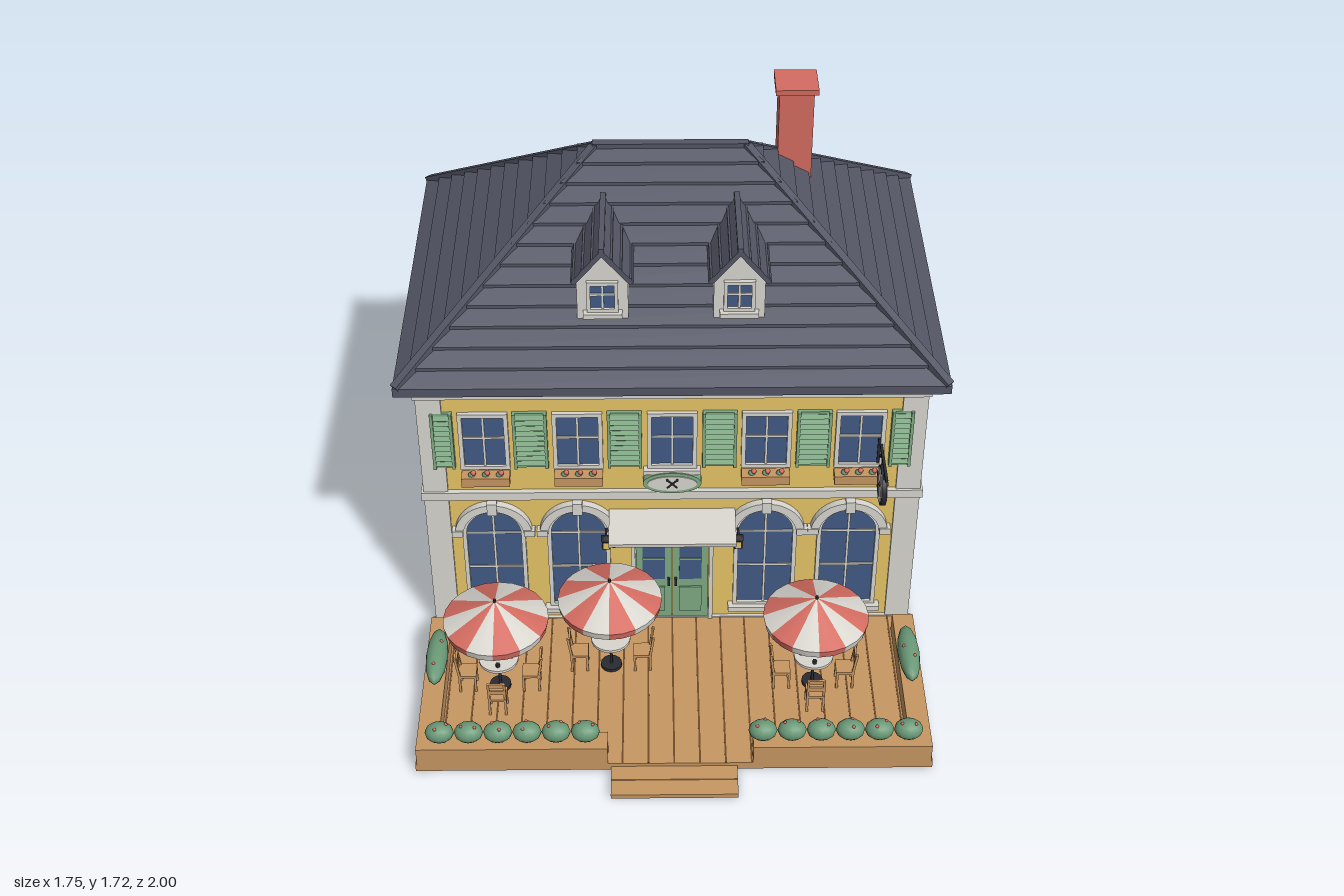
import * as THREE from 'three';
import { mergeGeometries } from 'three/addons/utils/BufferGeometryUtils.js';

const M = {};
for (const [name, color] of Object.entries({
  wallYellow: 0xe8c566, trimWhite: 0xd9d6cf, roofSlate: 0x545665, darkIron: 0x2a2a32, glassBlue: 0x425a86,
  paintGreen: 0x7faa84, leafGreen: 0x6b9a78, wood: 0xc89762, woodDark: 0x6e4a2b, red: 0xd46c61,
})) M[name] = new THREE.MeshStandardMaterial({ color, name, side: THREE.DoubleSide });

const HX = 0.8, ZF = 0.21, ZB = -0.91, ZC = -0.35;   // house walls

function add(parent, name, geo, mat, x = 0, y = 0, z = 0) {
  const m = new THREE.Mesh(geo, mat);
  m.name = name; m.position.set(x, y, z); parent.add(m);
  return m;
}
function group(parent, name, x = 0, y = 0, z = 0, ry = 0) {
  const g = new THREE.Group();
  g.name = name; g.position.set(x, y, z); g.rotation.y = ry; parent.add(g);
  return g;
}
// Box given by its extents
function box(p, name, mat, x0, x1, y0, y1, z0, z1) {
  return add(p, name, new THREE.BoxGeometry(x1 - x0, y1 - y0, z1 - z0), mat, (x0 + x1) / 2, (y0 + y1) / 2, (z0 + z1) / 2);
}
// Bar running from point a to point b in the parent's own space
function beam(p, name, mat, a, b, w, h = w) {
  const A = new THREE.Vector3(...a), B = new THREE.Vector3(...b);
  const m = add(p, name, new THREE.BoxGeometry(w, h, A.distanceTo(B)), mat);
  m.position.lerpVectors(A, B, 0.5);
  m.quaternion.setFromRotationMatrix(new THREE.Matrix4().lookAt(B, A, m.up));
}
const cyl = (r, h, n = 16) => new THREE.CylinderGeometry(r, r, h, n);
const extrude = (shape, depth) => new THREE.ExtrudeGeometry(shape, { depth, bevelEnabled: false, curveSegments: 12 });

// Hollow rectangular band around the house
function ring(p, name, mat, y0, y1, out) {
  const g = group(p, name), X = HX + out, t = out ? out + 0.01 : 0.02;
  box(g, name + 'Front', mat, -X, X, y0, y1, ZF + out - t, ZF + out);
  box(g, name + 'Back', mat, -X, X, y0, y1, ZB - out, ZB - out + t);
  for (const s of [-1, 1]) box(g, name + 'Side', mat, s * (X - t / 2) - t / 2, s * (X - t / 2) + t / 2, y0, y1, ZB - out + t, ZF + out - t);
}

// Rectangular window, local origin at its centre on the wall face
function windowUnit(g, w, h, sill = true) {
  const a = w / 2, b = h / 2, f = Math.min(0.014, w * 0.12);
  box(g, 'glass', M.glassBlue, -a + f, a - f, -b + f, b - f, -0.024, 0.004);
  for (const s of [-1, 1]) {
    box(g, 'frameSide', M.trimWhite, s * (a - f / 2) - f / 2, s * (a - f / 2) + f / 2, -b, b, -0.026, 0.014);
    box(g, 'frameRail', M.trimWhite, -a, a, s * (b - f / 2) - f / 2, s * (b - f / 2) + f / 2, -0.026, 0.014);
  }
  box(g, 'mullion', M.trimWhite, -0.004, 0.004, -b, b, -0.026, 0.009);
  box(g, 'crossBar', M.trimWhite, -a, a, b * 0.12 - 0.004, b * 0.12 + 0.004, -0.026, 0.009);
  if (sill) box(g, 'sill', M.trimWhite, -a - 0.012, a + 0.012, -b - 0.016, -b, 0, 0.028);
}

// Arch outline with straight legs and a half-round top
function archPath(P, r, y0, ys) {
  const p = new P();
  p.moveTo(-r, y0); p.lineTo(r, y0); p.lineTo(r, ys);
  p.absarc(0, ys, r, 0, Math.PI, false); p.lineTo(-r, y0);
  return p;
}
function archedWindow(p, x) {
  const g = group(p, 'archedWindow', x, 0, ZF), ys = 0.425;
  add(g, 'archGlass', extrude(archPath(THREE.Shape, 0.094, 0.1, ys), 0.028), M.glassBlue, 0, 0, -0.024);
  const frame = archPath(THREE.Shape, 0.104, 0.09, ys);
  frame.holes.push(archPath(THREE.Path, 0.09, 0.105, ys));
  add(g, 'archFrame', extrude(frame, 0.042), M.trimWhite, 0, 0, -0.027);
  const hood = new THREE.Shape();
  hood.absarc(0, ys, 0.128, 0, Math.PI, false); hood.absarc(0, ys, 0.1, Math.PI, 0, true);
  add(g, 'archHood', extrude(hood, 0.026), M.trimWhite);
  box(g, 'keystone', M.trimWhite, -0.016, 0.016, 0.515, 0.562, 0, 0.032);
  for (const s of [-1, 1]) box(g, 'hoodFoot', M.trimWhite, s * 0.119 - 0.018, s * 0.119 + 0.018, 0.42, 0.445, 0, 0.03);
  box(g, 'mullion', M.trimWhite, -0.004, 0.004, 0.1, 0.515, -0.026, 0.008);
  for (const y of [0.27, 0.42]) box(g, 'crossBar', M.trimWhite, -0.094, 0.094, y - 0.004, y + 0.004, -0.026, 0.008);
  box(g, 'sill', M.trimWhite, -0.12, 0.12, 0.075, 0.095, 0, 0.032);
}

// Door with one or two leaves, local origin at the bottom centre
function door(p, x, z, ry, w, y0, y1, leaves, glassLow) {
  const g = group(p, 'door', x, 0, z, ry), a = w / 2, f = 0.014, lw = (w - 2 * f) / leaves;
  box(g, 'doorInside', M.darkIron, -a, a, y0, y1, -0.026, -0.005);
  for (const s of [-1, 1]) box(g, 'doorJamb', M.trimWhite, s * (a - f / 2) - f / 2, s * (a - f / 2) + f / 2, y0, y1, 0, 0.018);
  box(g, 'doorLintel', M.trimWhite, -a - 0.006, a + 0.006, y1 - f, y1 + 0.004, 0, 0.022);
  for (let i = 0; i < leaves; i++) {
    const l = -a + f + i * lw + 0.002, r = l + lw - 0.004, m = 0.022;
    box(g, 'doorLeaf', M.paintGreen, l, r, y0, y1 - f, -0.004, 0.008);
    box(g, 'doorGlass', M.glassBlue, l + m, r - m, glassLow, y1 - f - 0.03, 0, 0.011);
    if (leaves > 1) box(g, 'glassBar', M.paintGreen, l + m, r - m, glassLow + 0.088, glassLow + 0.095, 0, 0.013);
    box(g, 'lowerPanel', M.paintGreen, l + m, r - m, y0 + 0.035, glassLow - 0.035, 0, 0.014);
    const k = leaves > 1 && i === 0 ? r - 0.01 : l + 0.01;
    box(g, 'doorHandle', M.darkIron, k - 0.004, k + 0.004, glassLow - 0.025, glassLow + 0.005, 0, 0.02);
  }
}

function shutter(p, x, w) {
  const g = group(p, 'shutter', x, 0.815, ZF);
  box(g, 'shutterBoard', M.paintGreen, -w / 2, w / 2, -0.11, 0.11, 0, 0.012);
  for (const s of [-1, 1]) box(g, 'shutterStile', M.paintGreen, s * (w / 2 - 0.005) - 0.005, s * (w / 2 - 0.005) + 0.005, -0.11, 0.11, 0, 0.022);
  for (let i = 0; i < 10; i++) {
    const slat = box(g, 'slat', M.paintGreen, -w / 2 + 0.01, w / 2 - 0.01, -0.008, 0.008, -0.002, 0.002);
    slat.position.set(0, -0.092 + i * 0.0205, 0.015); slat.rotation.x = -0.5;
  }
}

// Hipped roof built from overlapping courses, each with a small lip
function mainRoof(p) {
  const N = 12, y0 = 1.055, rise = 0.512, lip = 0.008, pts = [];
  const rect = (t, o, y) => {
    const x = 0.86 - 0.62 * t + o, z = 0.62 * (1 - t) + o;
    return [[-x, y, z], [x, y, z], [x, y, -z], [-x, y, -z]];
  };
  const band = (A, B) => {
    for (let i = 0; i < 4; i++) { const j = (i + 1) % 4; pts.push(...A[i], ...A[j], ...B[j], ...A[i], ...B[j], ...B[i]); }
  };
  for (let i = 0; i < N; i++) {
    const t0 = i / N, t1 = (i + 1) / N, yA = y0 + rise * t0, low = rect(t0, lip, yA), up = rect(t0, lip, yA + 0.011);
    band(rect(t0, 0, yA), low); band(low, up); band(up, rect(t1, 0, y0 + rise * t1));
  }
  const g = group(p, 'mainRoof', 0, 0, ZC), geo = new THREE.BufferGeometry();
  geo.setAttribute('position', new THREE.Float32BufferAttribute(pts.flat(), 3));
  geo.computeVertexNormals();
  add(g, 'roofCourses', geo, M.roofSlate);
  box(g, 'eaves', M.roofSlate, -0.868, 0.868, 1.035, 1.06, -0.628, 0.628);
  for (const sx of [-1, 1]) for (const sz of [-1, 1]) beam(g, 'hipCap', M.roofSlate, [sx * 0.86, 1.063, sz * 0.62], [sx * 0.24, 1.563, 0], 0.028, 0.026);
  box(g, 'ridgeCap', M.roofSlate, -0.25, 0.25, 1.55, 1.575, -0.015, 0.015);
}

function dormer(p, x) {
  const g = group(p, 'dormer', x);
  const poly = pts => new THREE.Shape(pts.map(q => new THREE.Vector2(...q)));
  add(g, 'dormerBody', extrude(poly([[-0.08, 1.2], [0.08, 1.2], [0.08, 1.36], [0, 1.45], [-0.08, 1.36]]), 0.3), M.trimWhite, 0, 0, -0.2);
  add(g, 'dormerRoof', extrude(poly([[0, 1.468], [0.098, 1.35], [0.086, 1.34], [0, 1.443], [-0.086, 1.34], [-0.098, 1.35]]), 0.33), M.roofSlate, 0, 0, -0.215);
  for (const s of [-1, 1]) for (const t of [0.3, 0.6, 0.9])
    box(g, 'dormerCourse', M.roofSlate, s * 0.098 * t - 0.004, s * 0.098 * t + 0.004, 1.46 - 0.118 * t, 1.471 - 0.118 * t, -0.21, 0.115);
  box(g, 'dormerRidge', M.roofSlate, -0.009, 0.009, 1.455, 1.472, -0.215, 0.116);
  windowUnit(group(g, 'dormerWindow', 0, 1.293, 0.1), 0.098, 0.11);
}

function chair(p, x, z, ry) {
  const g = group(p, 'chair', x, 0.03, z, ry);   // back rest at local +z
  box(g, 'seat', M.wood, -0.03, 0.03, 0.062, 0.072, -0.03, 0.03);
  for (const s of [-1, 1]) {
    box(g, 'frontLeg', M.wood, s * 0.026 - 0.004, s * 0.026 + 0.004, 0, 0.068, -0.03, -0.022);
    beam(g, 'backPost', M.wood, [s * 0.026, 0, 0.025], [s * 0.026, 0.07, 0.025], 0.008);
    beam(g, 'backPost', M.wood, [s * 0.026, 0.068, 0.025], [s * 0.026, 0.148, 0.036], 0.008);
  }
  for (const y of [0.108, 0.138]) box(g, 'backSlat', M.wood, -0.026, 0.026, y - 0.009, y + 0.008, 0.028, 0.035);
}

function umbrellaTable(p, x, z, chairs) {
  const g = group(p, 'umbrellaTable', x, 0, z), n = 12, step = Math.PI * 2 / n, parts = [[], []];
  for (let i = 0; i < n; i++) {
    parts[i % 2].push(new THREE.ConeGeometry(0.17, 0.075, 2, 1, true, i * step, step).translate(0, 0.3725, 0));
    parts[i % 2].push(new THREE.CylinderGeometry(0.17, 0.165, 0.026, 2, 1, true, i * step, step).translate(0, 0.322, 0));
  }
  add(g, 'redPanels', mergeGeometries(parts[0]), M.red);
  add(g, 'whitePanels', mergeGeometries(parts[1]), M.trimWhite);
  add(g, 'pole', cyl(0.005, 0.39, 8), M.darkIron, 0, 0.223, 0);
  add(g, 'poleBase', cyl(0.035, 0.012), M.darkIron, 0, 0.036, 0);
  add(g, 'tableTop', cyl(0.065, 0.01, 24), M.trimWhite, 0, 0.155, 0);
  for (let i = 0; i < chairs; i++) {
    const a = Math.PI / 2 + i * Math.PI * 2 / chairs;
    chair(g, Math.sin(a) * 0.105, Math.cos(a) * 0.105, a);
    add(g, 'cup', cyl(0.007, 0.012, 8), M.darkIron, Math.sin(a) * 0.042, 0.166, Math.cos(a) * 0.042);
  }
}

function bush(p, x, y, z, sx, sy, sz) {
  add(p, 'bush', new THREE.SphereGeometry(1, 12, 8), M.leafGreen, x, y, z).scale.set(sx, sy, sz);
  for (let i = 0; i < 2; i++) {
    const a = i * 2.5 + x * 9;
    add(p, 'blossom', new THREE.SphereGeometry(0.006, 6, 4), M.red, x + sx * 0.5 * Math.cos(a), y + sy * 0.84, z + sz * 0.5 * Math.sin(a));
  }
}

// Crossed cutlery, drawn flat facing +z
function cutlery(g, r, z) {
  for (const s of [-1, 1]) {
    beam(g, 'cutleryHandle', M.darkIron, [-s * r, -r, z], [s * r, r, z], 0.005);
    add(g, 'cutleryHead', cyl(r * 0.3, 0.005, 10), M.darkIron, s * r, r, z).rotation.x = Math.PI / 2;
  }
}

export function createModel() {
  const root = new THREE.Group();
  root.name = 'cafeHouse';

  // Shell, bands and corner pilasters
  ring(root, 'walls', M.wallYellow, 0, 1.036, 0);
  ring(root, 'plinth', M.trimWhite, 0, 0.035, 0.012);
  ring(root, 'floorBand', M.trimWhite, 0.57, 0.602, 0.018);
  ring(root, 'cornice', M.trimWhite, 0.985, 1.036, 0.018);
  for (const s of [-1, 1]) {
    box(root, 'frontPilaster', M.trimWhite, s * 0.77 - 0.04, s * 0.77 + 0.04, 0, 1, 0.145, 0.22);
    box(root, 'backPilaster', M.trimWhite, s * 0.78 - 0.03, s * 0.78 + 0.03, 0, 1, -0.92, -0.87);
  }

  // Roof, dormers and chimney
  mainRoof(root);
  for (const x of [-0.215, 0.21]) dormer(root, x);
  box(root, 'chimney', M.red, 0.35, 0.462, 1.36, 1.7, -0.545, -0.435);
  box(root, 'chimneyCap', M.red, 0.337, 0.475, 1.7, 1.718, -0.56, -0.42);

  // Front openings
  for (const x of [-0.59, -0.31, 0.31, 0.585]) archedWindow(root, x);
  for (const x of [-0.602, -0.302, 0, 0.302, 0.602]) {
    windowUnit(group(root, 'frontWindow', x, 0.81, ZF), 0.16, 0.225, x === 0);
    if (x === 0) continue;
    const g = group(root, 'windowBox', x, 0.65, ZF);
    box(g, 'boxTrough', M.wood, -0.078, 0.078, 0, 0.034, 0, 0.045);
    for (const fx of [-0.045, 0, 0.045]) {
      add(g, 'boxLeaves', new THREE.SphereGeometry(0.012, 8, 6), M.leafGreen, fx, 0.034, 0.024);
      add(g, 'boxFlower', new THREE.SphereGeometry(0.009, 8, 6), M.red, fx + 0.006, 0.046, 0.028);
    }
  }
  for (const s of [-1, 1]) { shutter(root, s * 0.733, 0.07); shutter(root, s * 0.453, 0.11); shutter(root, s * 0.152, 0.11); }
  door(root, 0, ZF, 0, 0.275, 0.03, 0.44, 2, 0.21);

  // Side and back openings
  for (const y of [0.81, 0.28]) {
    const h = y > 0.5 ? 0.22 : 0.24;
    for (const z of [-0.095, -0.6]) {
      if (y > 0.5 || z > -0.5) windowUnit(group(root, 'rightWindow', HX, y, z, Math.PI / 2), 0.155, h);
      windowUnit(group(root, 'leftWindow', -HX, y, z, -Math.PI / 2), 0.155, h);
    }
    for (const x of y > 0.5 ? [0.52, 0, -0.52] : [-0.18, -0.54]) windowUnit(group(root, 'backWindow', x, y, ZB, Math.PI), 0.155, h);
  }
  door(root, HX, -0.605, Math.PI / 2, 0.19, 0.035, 0.385, 1, 0.26);
  door(root, 0.365, ZB, Math.PI, 0.19, 0.035, 0.385, 1, 0.26);
  box(root, 'sideStep', M.trimWhite, HX, 0.858, 0, 0.036, -0.72, -0.49);
  box(root, 'backStep', M.trimWhite, 0.23, 0.5, 0, 0.036, -0.975, ZB);
  box(root, 'backCanopy', M.trimWhite, 0.23, 0.5, 0.414, 0.43, -1, ZB);

  // Entrance canopy with brackets and lanterns
  beam(root, 'entranceCanopy', M.trimWhite, [0, 0.508, ZF], [0, 0.492, 0.368], 0.415, 0.014);
  for (const s of [-1, 1]) {
    beam(root, 'canopyArm', M.darkIron, [s * 0.19, 0.492, ZF], [s * 0.19, 0.482, 0.36], 0.01);
    beam(root, 'canopyBrace', M.darkIron, [s * 0.19, 0.42, ZF], [s * 0.19, 0.485, 0.34], 0.009);
    box(root, 'canopyPost', M.darkIron, s * 0.19 - 0.005, s * 0.19 + 0.005, 0.4, 0.495, ZF, 0.22);
    const g = group(root, 'lantern', s * 0.218, 0.41, 0.257);
    box(g, 'lanternBody', M.darkIron, -0.014, 0.014, -0.02, 0.016, -0.014, 0.014);
    for (const r of [0, 1, 2, 3]) box(group(g, 'lanternSide', 0, 0, 0, r * Math.PI / 2), 'lanternPane', M.wallYellow, -0.009, 0.009, -0.015, 0.01, 0.014, 0.016);
    add(g, 'lanternCap', new THREE.ConeGeometry(0.024, 0.018, 4, 1, false, Math.PI / 4), M.darkIron, 0, 0.025, 0);
    beam(g, 'lanternArm', M.darkIron, [0, 0.03, -0.047], [0, 0.03, 0.002], 0.007);
  }

  // Oval wall sign
  const oval = group(root, 'ovalSign', 0, 0.65, ZF + 0.016);
  for (const [name, r, d, flat, mat] of [['ovalRim', 0.095, 0.032, 0.44, M.paintGreen], ['ovalPlate', 0.08, 0.038, 0.37, M.trimWhite]]) {
    const m = add(oval, name, cyl(r, d, 32), mat);
    m.rotation.x = Math.PI / 2; m.scale.z = flat;
  }
  cutlery(oval, 0.016, 0.02);

  // Round hanging sign
  const sign = group(root, 'hangingSign', 0.67, 0.7, 0.316, Math.PI / 2);
  add(sign, 'signRim', cyl(0.066, 0.016, 28), M.darkIron).rotation.x = Math.PI / 2;
  add(sign, 'signPlate', cyl(0.057, 0.022, 28), M.trimWhite).rotation.x = Math.PI / 2;
  for (const ry of [0, Math.PI]) cutlery(group(sign, 'signEmblem', 0, 0, 0, ry), 0.026, 0.012);
  beam(root, 'signArm', M.darkIron, [0.67, 0.79, ZF], [0.67, 0.79, 0.405], 0.009);
  beam(root, 'signBrace', M.darkIron, [0.67, 0.73, ZF], [0.67, 0.788, 0.27], 0.008);
  box(root, 'signMount', M.darkIron, 0.66, 0.68, 0.71, 0.81, ZF, 0.22);
  for (const z of [0.28, 0.352]) box(root, 'signHanger', M.darkIron, 0.667, 0.673, 0.745, 0.79, z - 0.003, z + 0.003);

  // Terrace deck with dark gaps between the planks, step and planters
  box(root, 'deck', M.wood, -0.82, 0.82, 0.004, 0.031, ZF, 0.882);
  for (let i = 1; i < 20; i++) box(root, 'plankGap', M.woodDark, -0.82 + i * 0.082 - 0.003, -0.82 + i * 0.082 + 0.003, 0.029, 0.032, ZF, 0.88);
  for (const i of [0, 1]) box(root, 'deckStep', M.wood, -0.2, 0.2, 0.002, 0.018, 0.88 + i * 0.06, 0.937 + i * 0.063);
  box(root, 'frontPlanter', M.wood, -0.815, -0.21, 0.03, 0.1, 0.81, 0.882);
  box(root, 'frontPlanter', M.wood, 0.25, 0.815, 0.03, 0.1, 0.81, 0.882);
  for (const s of [-1, 1]) {
    box(root, 'sidePlanter', M.wood, s * 0.78 - 0.035, s * 0.78 + 0.035, 0.03, 0.1, 0.285, 0.81);
    bush(root, s * 0.775, 0.14, 0.51, 0.036, 0.036, 0.125);
    for (let i = 0; i < 6; i++) bush(root, s * (0.28 + i * 0.092), 0.138, 0.842, 0.046, 0.034, 0.036);
  }

  // Outdoor seating
  umbrellaTable(root, -0.57, 0.535, 4);
  umbrellaTable(root, -0.205, 0.445, 2);
  umbrellaTable(root, 0.46, 0.53, 4);
  return root;
}
